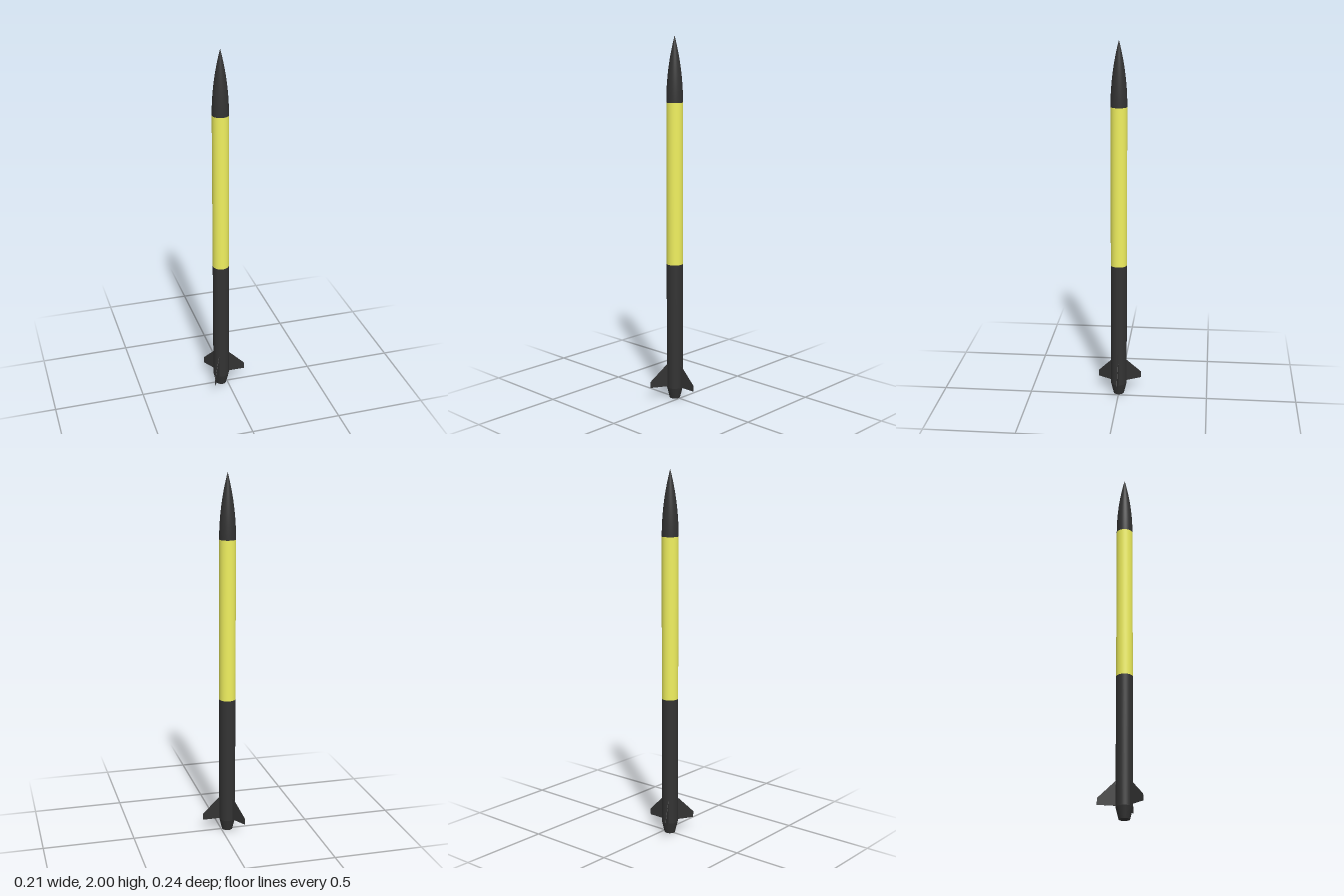
import * as THREE from 'three';

const R = 0.0445;          // body radius
const AXIS_X = -0.035;     // body axis, offset by the uneven fin layout
const SEG = 48;

const dark = new THREE.MeshStandardMaterial({ color: 0x333333 });
const yellow = new THREE.MeshStandardMaterial({ color: 0xf0f05f });

export function createModel() {
  const rocket = new THREE.Group();
  rocket.name = 'rocket';
  rocket.position.x = AXIS_X;
  const model = new THREE.Group();
  model.add(rocket);

  const add = (name, geometry, material) => {
    const mesh = new THREE.Mesh(geometry, material);
    mesh.name = name;
    rocket.add(mesh);
    return mesh;
  };
  // Upright tapered section between two heights
  const section = (name, y0, y1, r0, r1, material) => {
    const mesh = add(name, new THREE.CylinderGeometry(r1, r0, y1 - y0, SEG), material);
    mesh.position.y = (y0 + y1) / 2;
  };

  // Tail cone and body tubes
  section('tailCone', 0, 0.063, 0.029, R, dark);
  section('lowerBody', 0.063, 0.77, R, R, dark);
  section('upperBody', 0.77, 1.65, R, R, yellow);

  // Tangent ogive nose
  const L = 0.35;
  const rho = (R * R + L * L) / (2 * R);
  const profile = [];
  for (let i = 0; i <= 24; i++) {
    const h = (L * i) / 24;
    profile.push(new THREE.Vector2(Math.max(0, Math.sqrt(rho * rho - h * h) + R - rho), 1.65 + h));
  }
  add('noseCone', new THREE.LatheGeometry(profile, SEG), dark);

  // Three thin clipped fins, 120 degrees apart
  const thickness = 0.002;
  const outline = new THREE.Shape([
    [R - 0.003, 0.067], [0.14, 0.067], [0.14, 0.102], [R, 0.197], [R - 0.003, 0.197],
  ].map(([x, y]) => new THREE.Vector2(x, y)));
  const finGeometry = new THREE.ExtrudeGeometry(outline, { depth: thickness, bevelEnabled: false });
  finGeometry.translate(0, 0, -thickness / 2);
  for (let i = 0; i < 3; i++) {
    add('fin' + (i + 1), finGeometry, dark).rotation.y = (i * Math.PI * 2) / 3;
  }

  return model;
}
